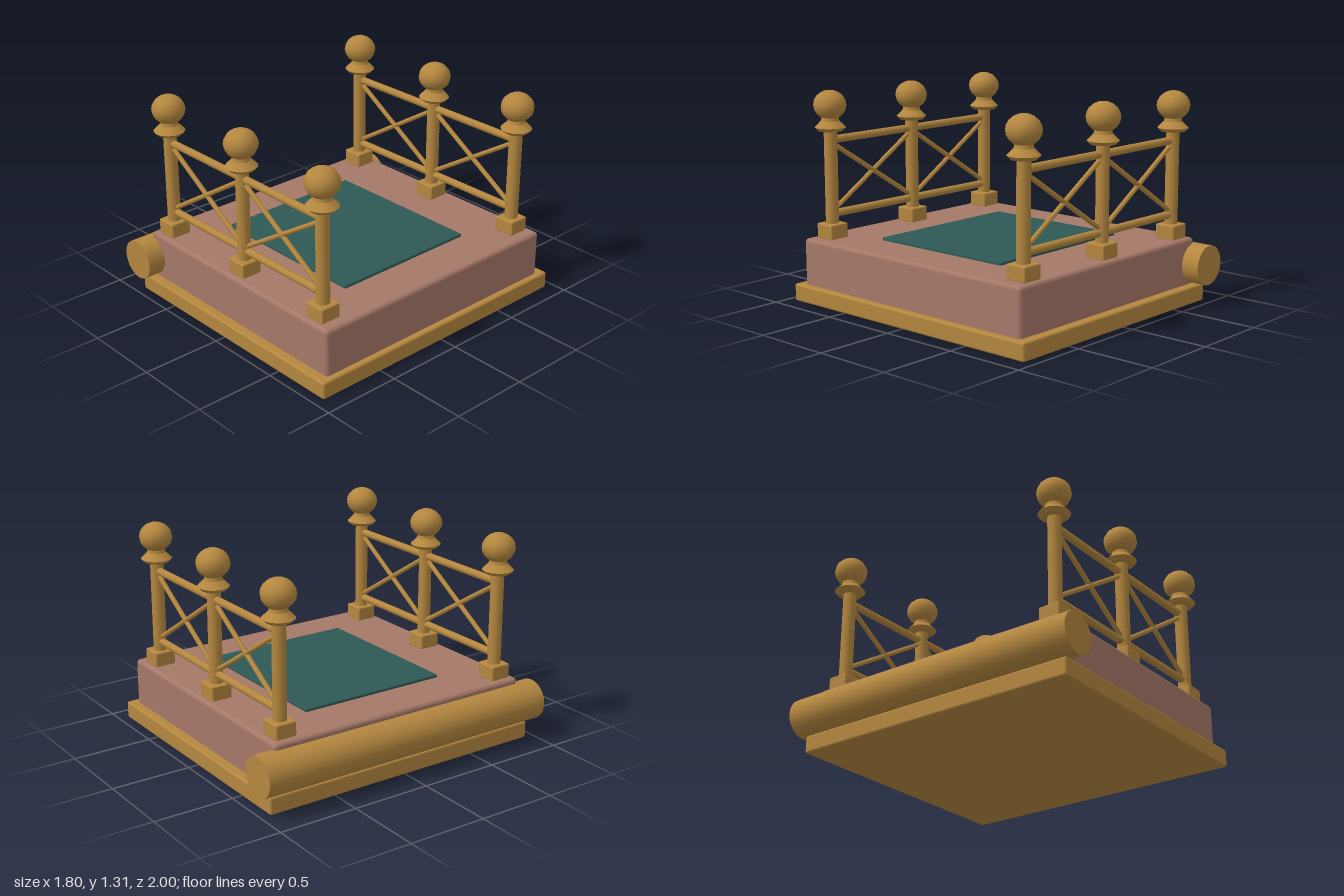
import * as THREE from 'three';
import { RoundedBoxGeometry } from 'three/addons/geometries/RoundedBoxGeometry.js';

export function createModel() {
  const model = new THREE.Group();
  model.name = 'railedPlatform';

  const material = (name, color) => {
    const m = new THREE.MeshStandardMaterial({ color });
    m.name = name;
    return m;
  };
  const wood = material('goldenWood', 0xb4873f);
  const clay = material('dustyClay', 0xa57868);
  const teal = material('tealCloth', 0x2e5955);

  const add = (parent, name, geometry, mat, x = 0, y = 0, z = 0) => {
    const mesh = new THREE.Mesh(geometry, mat);
    mesh.name = name;
    mesh.position.set(x, y, z);
    parent.add(mesh);
    return mesh;
  };

  // Box given by its extents, with softened edges
  const block = (parent, name, mat, [x0, x1], [y0, y1], [z0, z1], radius) =>
    add(parent, name, new RoundedBoxGeometry(x1 - x0, y1 - y0, z1 - z0, 2, radius), mat,
      (x0 + x1) / 2, (y0 + y1) / 2, (z0 + z1) / 2);

  // Round bar between two points in the xy plane
  const bar = (parent, name, x0, y0, x1, y1, radius) => {
    const length = Math.hypot(x1 - x0, y1 - y0);
    const mesh = add(parent, name, new THREE.CylinderGeometry(radius, radius, length, 10), wood,
      (x0 + x1) / 2, (y0 + y1) / 2, 0);
    mesh.rotation.z = Math.atan2(y1 - y0, x1 - x0) - Math.PI / 2;
  };

  // Platform
  block(model, 'basePlinth', wood, [-0.81, 0.895], [0, 0.11], [-0.943, 0.943], 0.014);
  block(model, 'platformBody', clay, [-0.775, 0.857], [0.08, 0.4], [-0.885, 0.885], 0.025);
  block(model, 'clothPanel', teal, [-0.487, 0.573], [0.385, 0.418], [-0.487, 0.487], 0.008);

  // Round log along the right edge
  const log = add(model, 'sideLog', new THREE.CylinderGeometry(0.125, 0.125, 2, 24), wood, -0.775, 0.238, 0);
  log.rotation.x = Math.PI / 2;

  // Railings
  const postX = [-0.667, 0.023, 0.713];
  const collarProfile = [[0.03, 1.063], [0.074, 1.063], [0.096, 1.085], [0.056, 1.125], [0.05, 1.155], [0, 1.155]]
    .map(([r, y]) => new THREE.Vector2(r, y));

  for (const [side, z] of [['front', 0.782], ['back', -0.782]]) {
    const railing = new THREE.Group();
    railing.name = side + 'Railing';
    railing.position.z = z;
    model.add(railing);

    for (const x of postX) {
      block(railing, 'postFoot', wood, [x - 0.068, x + 0.068], [0.395, 0.49], [-0.068, 0.068], 0.01);
      add(railing, 'post', new THREE.CylinderGeometry(0.041, 0.041, 0.62, 14), wood, x, 0.78, 0);
      // Faceted creases between the collar bands
      for (let i = 0; i < collarProfile.length - 1; i++) {
        add(railing, 'postCollar', new THREE.LatheGeometry(collarProfile.slice(i, i + 2), 16), wood, x);
      }
      const ball = add(railing, 'ballFinial', new THREE.SphereGeometry(0.102, 14, 10), wood, x, 1.222, 0);
      ball.scale.y = 0.89;
    }

    // Rails and crossed braces in each bay
    for (let i = 0; i < 2; i++) {
      const a = postX[i] + 0.02, b = postX[i + 1] - 0.02;
      bar(railing, 'topRail', a, 1.007, b, 1.007, 0.024);
      bar(railing, 'bottomRail', a, 0.547, b, 0.547, 0.024);
      bar(railing, 'crossBrace', a, 0.572, b, 0.98, 0.015);
      bar(railing, 'crossBrace', a, 0.98, b, 0.572, 0.015);
    }
  }
  return model;
}
